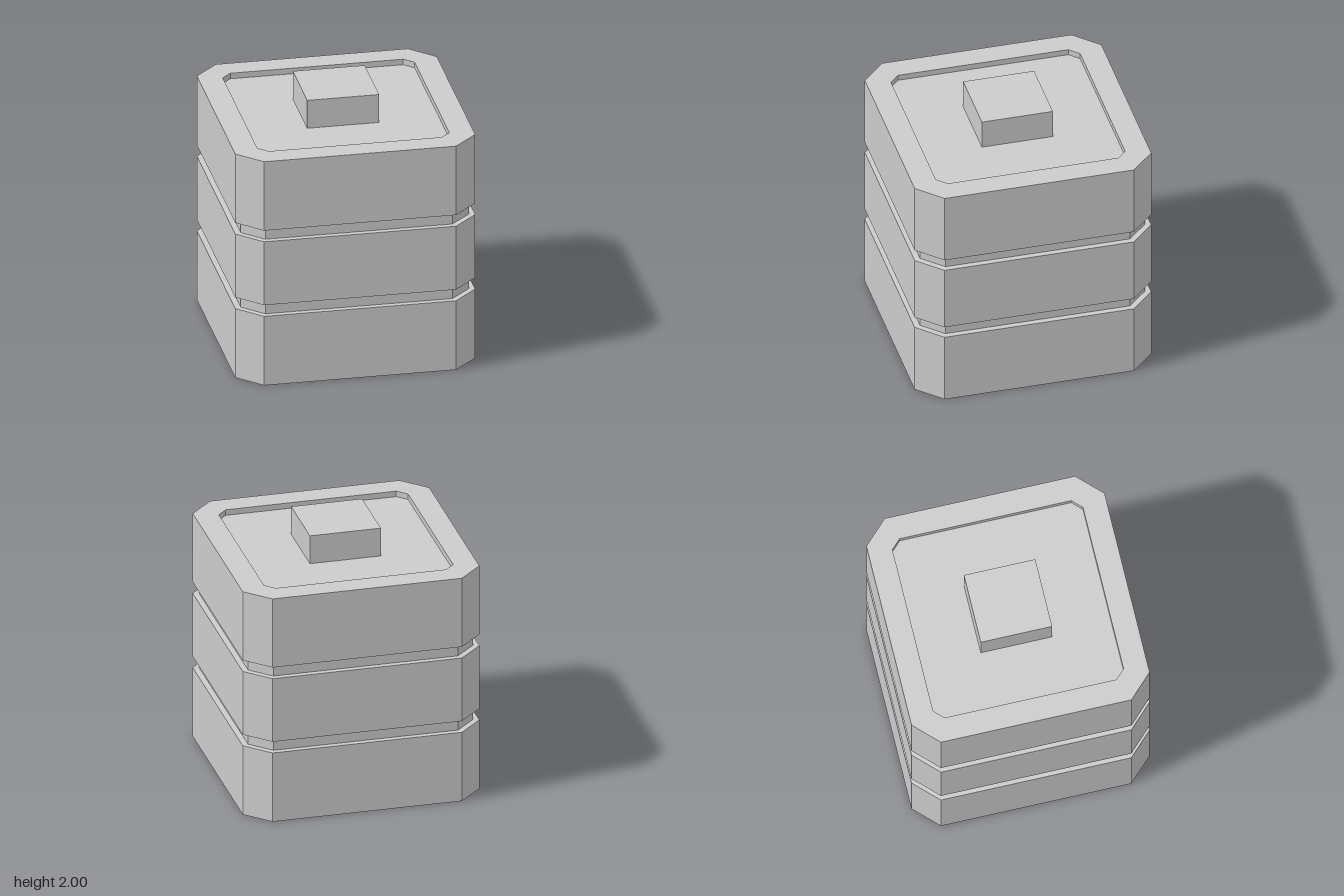
import * as THREE from 'three';

const material = new THREE.MeshStandardMaterial({ color: 0xcccccc, flatShading: true });

// Corners of a square with cut corners: half = half width, flat = half length of the straight side
function octagon(half, flat) {
  return [
    [half, -flat], [half, flat], [flat, half], [-flat, half],
    [-half, flat], [-half, -flat], [-flat, -half], [flat, -half],
  ].map(([x, y]) => new THREE.Vector2(x, y));
}

// Upright slab from y0 to y1, with an optional opening through it
function slab(name, outline, y0, y1, opening) {
  const shape = new THREE.Shape(outline);
  if (opening) shape.holes.push(new THREE.Path(opening));
  const geometry = new THREE.ExtrudeGeometry(shape, { depth: y1 - y0, bevelEnabled: false });
  geometry.rotateX(-Math.PI / 2);
  geometry.translate(0, y0, 0);
  const mesh = new THREE.Mesh(geometry, material);
  mesh.name = name;
  return mesh;
}

export function createModel() {
  const group = new THREE.Group();
  group.name = 'canister';

  const body = octagon(0.909, 0.727);
  const neck = octagon(0.864, 0.709);
  const recess = octagon(0.727, 0.655);
  const top = 1.818, floor = 1.773;

  // Three wide body sections
  group.add(slab('lowerSection', body, 0, 0.561));
  group.add(slab('middleSection', body, 0.652, 1.167));
  group.add(slab('upperSection', body, 1.258, floor));

  // Narrow bands that form the grooves
  group.add(slab('lowerGroove', neck, 0.561, 0.652));
  group.add(slab('upperGroove', neck, 1.167, 1.258));

  // Raised rim around the sunken top
  group.add(slab('topRim', body, floor, top, recess));

  // Square knob standing on the sunken top
  const knob = new THREE.Mesh(new THREE.BoxGeometry(0.545, 2 - floor, 0.545), material);
  knob.name = 'knob';
  knob.position.y = (2 + floor) / 2;
  group.add(knob);

  return group;
}
